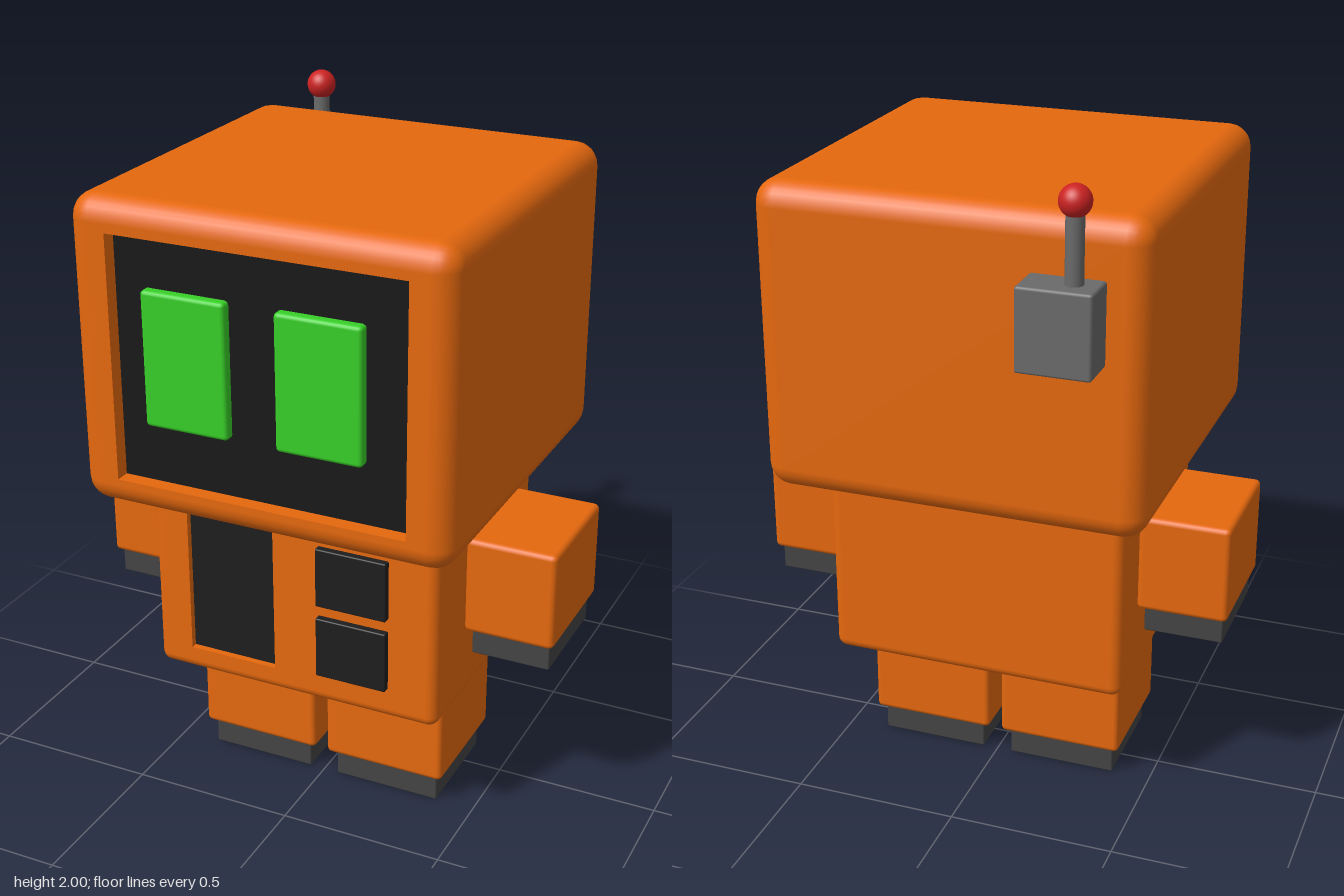
import * as THREE from 'three';
import { RoundedBoxGeometry } from 'three/addons/geometries/RoundedBoxGeometry.js';

const material = (color) => new THREE.MeshStandardMaterial({ color });

export function createModel() {
  const robot = new THREE.Group();
  robot.name = 'robot';
  const orange = material(0xe5680e), black = material(0x181818), panelBlack = material(0x1e1e1e);
  const green = material(0x38cf28), rubber = material(0x444444), metal = material(0x6a6a6a), red = material(0xcc2222);

  const add = (name, geometry, mat) => {
    const mesh = new THREE.Mesh(geometry, mat);
    mesh.name = name;
    robot.add(mesh);
    return mesh;
  };

  // Rounded box given by its limits [min, max] on each axis
  const roundedBox = ([x0, x1], [y0, y1], [z0, z1], radius, segments = 2) =>
    new RoundedBoxGeometry(x1 - x0, y1 - y0, z1 - z0, segments, radius)
      .translate((x0 + x1) / 2, (y0 + y1) / 2, (z0 + z1) / 2);

  const rectangle = (Type, [x0, x1], [y0, y1]) => {
    const path = new Type();
    path.moveTo(x0, y0).lineTo(x1, y0).lineTo(x1, y1).lineTo(x0, y1).closePath();
    return path;
  };

  // Rounded shell whose flat front is replaced by a frame around a recessed panel
  const recessedBox = (name, x, y, z, radius, holeX, holeY, depth, panelMaterial) => {
    const shell = roundedBox(x, y, z, radius, 3);
    const p = shell.attributes.position, n = shell.attributes.normal;
    const points = [], normals = [];
    for (let i = 0; i < p.count; i += 3) {
      const corners = [i, i + 1, i + 2];
      if (corners.every((k) => p.getZ(k) > z[1] - 1e-4)) continue;
      for (const k of corners) {
        points.push(p.getX(k), p.getY(k), p.getZ(k));
        normals.push(n.getX(k), n.getY(k), n.getZ(k));
      }
    }
    const open = new THREE.BufferGeometry();
    open.setAttribute('position', new THREE.Float32BufferAttribute(points, 3));
    open.setAttribute('normal', new THREE.Float32BufferAttribute(normals, 3));
    add(name, open, orange);

    const inset = ([a, b]) => [a + radius, b - radius];
    const frame = rectangle(THREE.Shape, inset(x), inset(y));
    frame.holes.push(rectangle(THREE.Path, holeX, holeY));
    const frameGeometry = new THREE.ExtrudeGeometry(frame, { depth, bevelEnabled: false });
    add(name + 'Frame', frameGeometry.translate(0, 0, z[1] - depth), orange);

    const panel = new THREE.PlaneGeometry(holeX[1] - holeX[0], holeY[1] - holeY[0]);
    panel.translate((holeX[0] + holeX[1]) / 2, (holeY[0] + holeY[1]) / 2, z[1] - depth);
    add(name + 'Panel', panel, panelMaterial);
  };

  // Head with sunken screen, torso with sunken hatch
  recessedBox('head', [-0.565, 0.565], [1.0, 1.905], [-0.505, 0.625], 0.07,
    [-0.44, 0.44], [1.09, 1.81], 0.045, black);
  recessedBox('torso', [-0.455, 0.455], [0.39, 1.0], [-0.305, 0.43], 0.032,
    [-0.34, -0.06], [0.465, 0.93], 0.02, panelBlack);

  // Eyes
  add('rightEye', roundedBox([-0.35, -0.095], [1.265, 1.66], [0.56, 0.61], 0.012), green);
  add('leftEye', roundedBox([0.05, 0.305], [1.265, 1.66], [0.56, 0.61], 0.012), green);

  // Raised chest plates
  add('upperPlate', roundedBox([0.085, 0.305], [0.72, 0.905], [0.41, 0.452], 0.004, 1), panelBlack);
  add('lowerPlate', roundedBox([0.085, 0.305], [0.49, 0.68], [0.41, 0.452], 0.004, 1), panelBlack);

  // Limbs, mirrored
  for (const [side, s] of [['left', 1], ['right', -1]]) {
    const span = (a, b) => (s > 0 ? [a, b] : [-b, -a]);
    add(side + 'Arm', roundedBox(span(0.455, 0.727), [0.615, 0.915], [-0.152, 0.232], 0.016), orange);
    add(side + 'Hand', roundedBox(span(0.474, 0.711), [0.535, 0.63], [-0.126, 0.208], 0.004, 1), rubber);
    add(side + 'Leg', roundedBox(span(0.02, 0.403), [0.085, 0.392], [-0.13, 0.255], 0.016), orange);
    add(side + 'Foot', roundedBox(span(0.046, 0.38), [0, 0.1], [-0.105, 0.23], 0.004, 1), rubber);
  }

  // Antenna at the back of the head
  add('antennaBox', roundedBox([-0.45, -0.24], [1.505, 1.74], [-0.625, -0.49], 0.008, 1), metal);
  add('antennaRod', new THREE.CylinderGeometry(0.025, 0.025, 0.24, 24), metal).position.set(-0.38, 1.82, -0.557);
  add('antennaBall', new THREE.SphereGeometry(0.044, 32, 20), red).position.set(-0.38, 1.958, -0.557);

  return robot;
}
